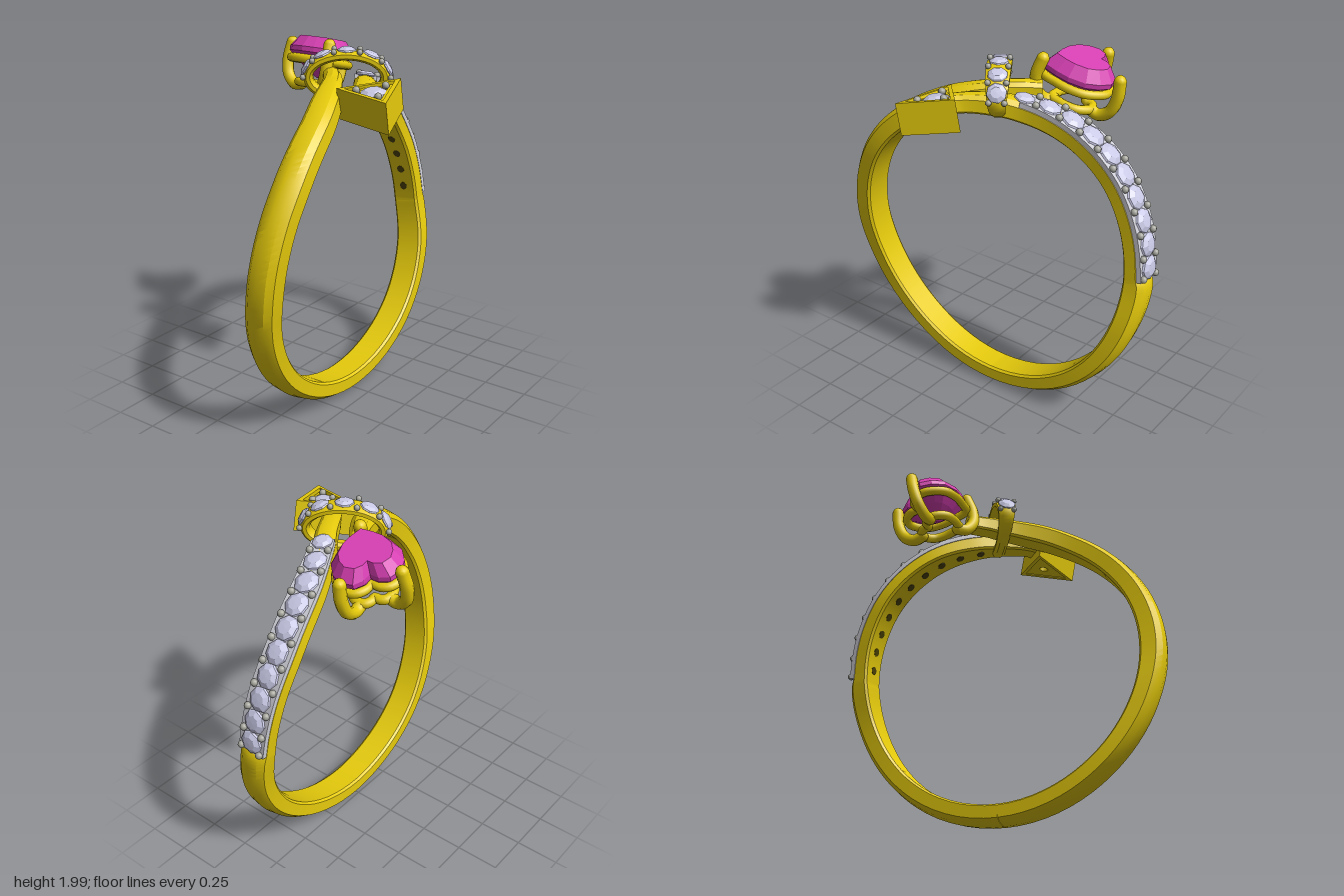
import * as THREE from 'three';
import { toCreasedNormals } from 'three/addons/utils/BufferGeometryUtils.js';

const V = (x, y, z) => new THREE.Vector3(x, y, z);
const gold = new THREE.MeshStandardMaterial({ color: 0xe6cb0c });
const silver = new THREE.MeshStandardMaterial({ color: 0xcfcfd8 });
const beadGrey = new THREE.MeshStandardMaterial({ color: 0xa6a69e });
const holeDark = new THREE.MeshStandardMaterial({ color: 0x4d4304 });
const crystal = new THREE.MeshStandardMaterial({ color: 0xc9c9e6, flatShading: true });
const pink = new THREE.MeshStandardMaterial({ color: 0xd840b4, flatShading: true });

function add(parent, name, geo, mat) {
  const mesh = new THREE.Mesh(geo, mat);
  mesh.name = name;
  parent.add(mesh);
  return mesh;
}

// Skin a list of rings, each running counter-clockwise about the sweep direction
function loft(rings, closed = false) {
  const m = rings[0].length, n = rings.length, pos = [], idx = [];
  rings.forEach(r => r.forEach(p => pos.push(p.x, p.y, p.z)));
  for (let i = 0; i < (closed ? n : n - 1); i++) {
    for (let j = 0; j < m; j++) {
      const k = (j + 1) % m, i2 = (i + 1) % n;
      const a = i * m + j, b = i * m + k, c = i2 * m + k, d = i2 * m + j;
      idx.push(a, b, c, a, c, d);
    }
  }
  if (!closed) for (let j = 1; j < m - 1; j++) {
    const e = (n - 1) * m;
    idx.push(0, j + 1, j, e, e + j, e + j + 1);
  }
  const g = new THREE.BufferGeometry();
  g.setAttribute('position', new THREE.Float32BufferAttribute(pos, 3));
  g.setIndex(idx);
  g.computeVertexNormals();
  return g;
}

// Cross-sections: u across the width, v outward, both in unit size
const domed = [[-.42, -.5], [.42, -.5], [.5, -.4], [.5, .22], [.3, .43], [0, .5], [-.3, .43], [-.5, .22], [-.5, -.4]];
const strip = [[-.5, .25], [.5, .25], [.5, .5], [-.5, .5]];
const oval = [[-.25, -.5], [.25, -.5], [.5, -.2], [.5, .2], [.25, .5], [-.25, .5], [-.5, .2], [-.5, -.2]];
const place = (f, u, v) => f.p.clone().addScaledVector(f.s, u * f.w).addScaledVector(f.n, v * f.h);
const ring = (f, section) => section.map(([u, v]) => place(f, u, v));

// A strand of the shank; controls are [degrees from the bottom, z, width, inner radius, outer radius]
function makeStrand(controls) {
  const path = new THREE.CatmullRomCurve3(controls.map(c => V(c[0] * Math.PI / 180, c[1], c[2])), false, 'catmullrom', 0.5);
  const radii = new THREE.CatmullRomCurve3(controls.map(c => V(c[3], c[4], 0)), false, 'catmullrom', 0.3);
  const point = t => {
    const c = path.getPoint(t), q = radii.getPoint(t), r = (q.x + q.y) / 2;
    return V(Math.sin(c.x) * r, .92 - Math.cos(c.x) * r, c.y);
  };
  const frame = t => {
    const c = path.getPoint(t), q = radii.getPoint(t);
    const T = point(Math.min(1, t + .004)).sub(point(Math.max(0, t - .004))).normalize();
    const n = V(Math.sin(c.x), -Math.cos(c.x), 0);
    n.addScaledVector(T, -n.dot(T)).normalize();
    return { p: point(t), n, s: n.clone().cross(T), w: c.z, h: q.y - q.x };
  };
  const atAngle = deg => {
    let lo = 0, hi = 1;
    for (let i = 0; i < 30; i++) {
      const mid = (lo + hi) / 2;
      if (path.getPoint(mid).x * 180 / Math.PI < deg) lo = mid; else hi = mid;
    }
    return lo;
  };
  const sweep = (section, t0, t1, n) =>
    toCreasedNormals(loft(Array.from({ length: n + 1 }, (_, i) => ring(frame(t0 + (t1 - t0) * i / n), section))), .5);
  return { frame, atAngle, sweep };
}

const stoneGeo = new THREE.LatheGeometry([[0, -.6], [1, 0], [.93, .14], [.55, .36], [0, .38]].map(p => new THREE.Vector2(...p)), 8);
const beadGeo = new THREE.SphereGeometry(1, 10, 8);

function addStone(parent, p, n, r, spin = 0) {
  const m = add(parent, 'stone', stoneGeo, crystal);
  m.position.copy(p);
  m.quaternion.setFromUnitVectors(V(0, 1, 0), n);
  m.rotateY(spin);
  m.scale.setScalar(r);
}
function addBead(parent, p, r) {
  const m = add(parent, 'bead', beadGeo, beadGrey);
  m.position.copy(p);
  m.scale.setScalar(r);
}

// Heart outline in plan, point toward -y
const half = [[.075, -.16], [.13, -.105], [.175, -.02], [.175, .06], [.15, .125], [.09, .16], [.035, .145]];
const heart = [[0, -.215], ...half, [0, .11], ...half.map(([x, y]) => [-x, y]).reverse()];
const heartRing = (s, y) => heart.map(([x, z]) => V(x * s, y, -z * s));

function makeHeartSetting() {
  const g = new THREE.Group();
  g.name = 'heartSetting';
  add(g, 'heartGem', loft([heartRing(.05, -.15), heartRing(.55, -.085), heartRing(1, -.015), heartRing(1, .012), heartRing(.74, .075)]).toNonIndexed(), pink);
  // Two rails and three prongs
  [[.92, -.055, .025], [.58, -.185, .026]].forEach(([s, y, r]) =>
    add(g, 'basketRail', new THREE.TubeGeometry(new THREE.CatmullRomCurve3(heartRing(s, y), true), 64, r, 8, true), gold));
  [[-.15, .165], [.15, .165], [0, -.225]].forEach(([x, y]) => {
    const pts = [[1, .035], [1.06, -.06], [.97, -.15], [.72, -.2], [.5, -.195]].map(([s, h]) => V(x * s, h, -y * s));
    add(g, 'prong', new THREE.TubeGeometry(new THREE.CatmullRomCurve3(pts), 20, .034, 10), gold);
    [pts[0], pts[4]].forEach(p => {
      const tip = add(g, 'prongTip', beadGeo, gold);
      tip.position.copy(p);
      tip.scale.setScalar(.034);
    });
  });
  g.position.set(.285, 1.885, -.285);
  g.rotation.set(0, -Math.PI / 4, -.26, 'ZYX');
  return g;
}

function makeTriangleSetting() {
  const g = new THREE.Group();
  g.name = 'triangleSetting';
  const tri = s => [[-.05, .19], [-.13, -.16], [.18, -.055]].map(([x, y]) => new THREE.Vector2(x * s, y * s));
  const prism = (outer, hole, y, depth, name) => {
    const shape = new THREE.Shape(tri(outer));
    shape.holes.push(hole);
    const geo = new THREE.ExtrudeGeometry(shape, { depth, bevelEnabled: false });
    geo.rotateX(-Math.PI / 2).translate(0, y, 0);
    add(g, name, geo, gold);
  };
  prism(1, new THREE.Path(tri(.78)), -.17, .17, 'triangleWall');
  prism(.7, new THREE.Path(tri(.58)), -.05, .035, 'innerRim');
  prism(.8, new THREE.Path().absarc(0, 0, .025, 0, Math.PI * 2, true), -.165, .13, 'triangleFloor');
  addStone(g, V(0, -.025, 0), V(0, 1, 0), .075);
  [[-.025, .085], [-.06, -.07], [.08, -.025]].forEach(([x, y]) => addBead(g, V(x, -.005, -y), .02));
  g.position.set(-.18, 1.835, .37);
  g.rotation.z = .19;
  return g;
}

function makeKnot() {
  const g = new THREE.Group();
  g.name = 'knot';
  const d = V(.55, 0, .835), side = V(.835, 0, -.55);
  const frame = a => {
    const c = Math.cos(a), s = Math.sin(a);
    const p = V(.01, 1.835, .08).addScaledVector(d, .205 * c);
    p.y += .115 * s;
    const n = d.clone().multiplyScalar(c / .205).add(V(0, s / .115, 0)).normalize();
    const T = d.clone().multiplyScalar(-.205 * s).add(V(0, .115 * c, 0)).normalize();
    return { p, n, s: n.clone().cross(T), w: .1 + .03 * s, h: .05 };
  };
  const rings = Array.from({ length: 48 }, (_, i) => ring(frame(i / 48 * Math.PI * 2), oval));
  add(g, 'knotLoop', toCreasedNormals(loft(rings, true), .7), gold);
  // Stones along the top with beads between them
  for (let i = 0; i < 5; i++) {
    const f = frame(Math.PI * (.1 + .2 * i));
    addStone(g, place(f, 0, .42), f.n, .053, i);
  }
  for (let i = 0; i < 6; i++) {
    const f = frame(Math.PI * .2 * i);
    [-.4, .4].forEach(u => addBead(g, place(f, u, .55), .016));
  }
  return g;
}

export function createModel() {
  const model = new THREE.Group();
  model.name = 'ring';

  // Shank: two strands from the bottom that pass side by side under the knot
  const right = makeStrand([
    [0, .085, .17, .81, .918], [40, .078, .17, .805, .918], [68, .045, .17, .797, .918], [87, -.008, .165, .79, .918],
    [94, -.022, .165, .79, .897], [112, -.046, .17, .79, .897], [130, -.055, .17, .79, .897], [150, -.015, .16, .79, .9],
    [166, .07, .13, .795, .91], [176, .16, .11, .81, .92], [186, .25, .1, .82, .92], [191, .32, .1, .82, .92]]);
  const left = makeStrand([
    [0, .085, .17, .81, .918], [-40, .1, .17, .805, .918], [-68, .14, .17, .797, .92], [-90, .19, .17, .79, .925],
    [-112, .222, .17, .79, .92], [-130, .23, .17, .79, .918], [-150, .195, .16, .79, .918],
    [-166, .11, .14, .795, .925], [-176, .035, .11, .81, .93], [-183, -.04, .095, .83, .935], [-189, -.12, .09, .84, .935]]);
  add(model, 'rightStrand', right.sweep(domed, 0, 1, 90), gold);
  add(model, 'leftStrand', left.sweep(domed, 0, 1, 90), gold);

  // Row of set stones on the right strand
  const pave = new THREE.Group();
  pave.name = 'pave';
  model.add(pave);
  add(pave, 'paveBed', right.sweep(strip, right.atAngle(91.5), right.atAngle(170), 40), silver);
  for (let i = 0; i < 10; i++) {
    const deg = 96 + i * 8.1;
    const f = right.frame(right.atAngle(deg));
    addStone(pave, place(f, 0, .5), f.n, .068 * Math.min(1, f.w / .15), i * .7);
    // Drilled hole behind each stone
    const hole = add(pave, 'drillHole', new THREE.CylinderGeometry(.024, .024, .01, 12), holeDark);
    hole.position.copy(place(f, 0, -.475));
    hole.quaternion.setFromUnitVectors(V(0, 1, 0), f.n);
    const b = right.frame(right.atAngle(deg - 4.05));
    if (i === 0) Object.assign(b, right.frame(right.atAngle(92.8)));
    [-.37, .37].forEach(u => addBead(pave, place(b, u, .56), .02));
  }

  model.add(makeKnot(), makeHeartSetting(), makeTriangleSetting());
  return model;
}
